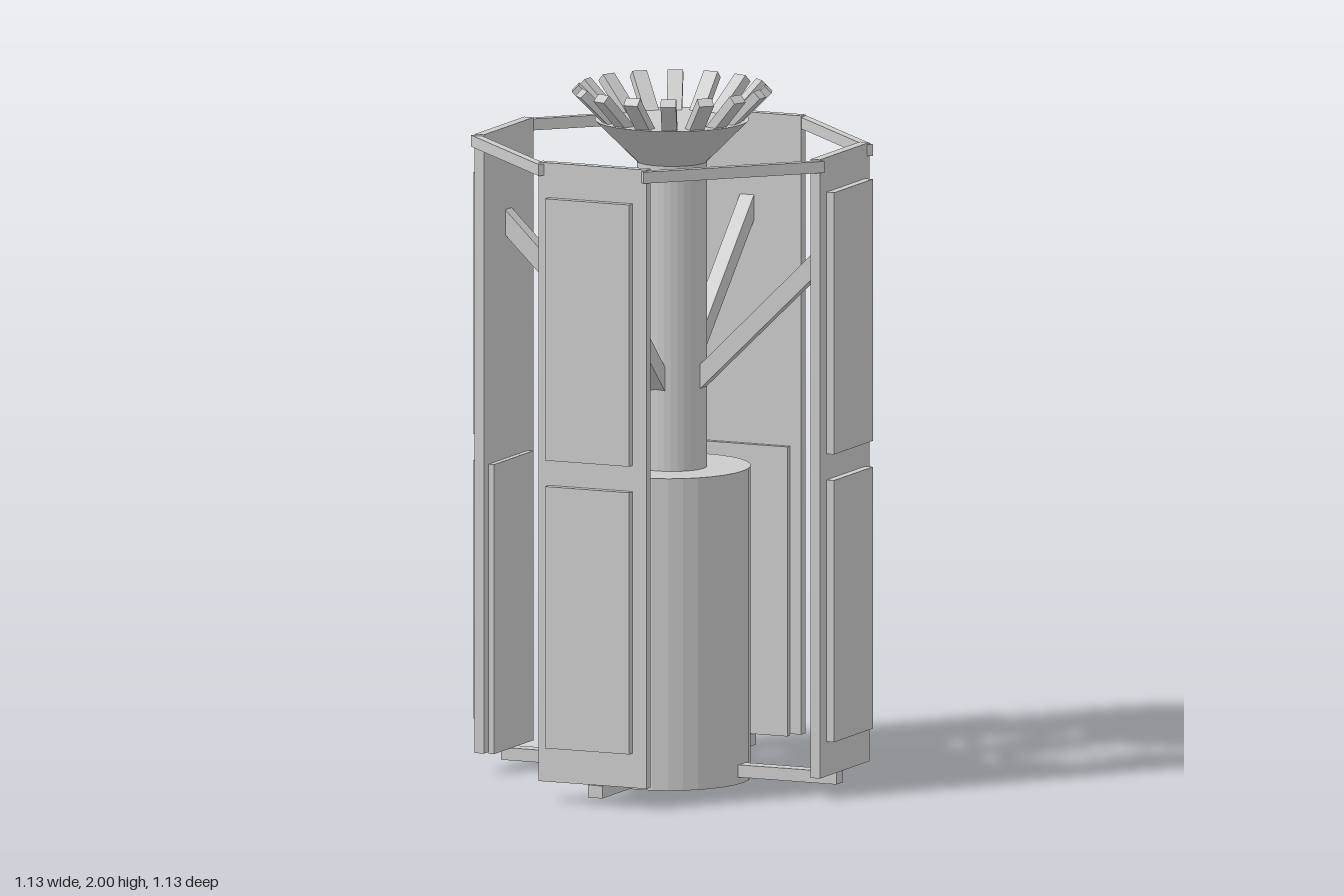
import * as THREE from 'three';

const material = new THREE.MeshStandardMaterial({ color: 0xcccccc, flatShading: true });

function addMesh(parent, name, geometry, x = 0, y = 0, z = 0) {
  const mesh = new THREE.Mesh(geometry, material);
  mesh.name = name;
  mesh.position.set(x, y, z);
  parent.add(mesh);
  return mesh;
}

// Box given by its lower and upper corners
function addBox(parent, name, [x0, y0, z0], [x1, y1, z1]) {
  return addMesh(parent, name, new THREE.BoxGeometry(x1 - x0, y1 - y0, z1 - z0),
    (x0 + x1) / 2, (y0 + y1) / 2, (z0 + z1) / 2);
}

// One side of the frame, built facing +z: panel, cover plates, strut and foot arm
function createSide(name, shift, drop) {
  const side = new THREE.Group();
  side.name = name;
  addBox(side, 'panel', [-0.17, 0.06, 0.512], [0.168, 1.845, 0.541]);
  addBox(side, 'upperPlate', [shift - 0.132, 0.99 - drop, 0.541], [shift + 0.132, 1.745 - drop, 0.565]);
  addBox(side, 'lowerPlate', [shift - 0.132, 0.16 - drop / 2, 0.541], [shift + 0.132, 0.915 - drop, 0.565]);
  addBox(side, 'innerPlate', [-0.135, 0.055, 0.495], [0.135, 0.89, 0.512]);
  addBox(side, 'footArm', [-0.023, 0.02, 0.18], [0.023, 0.056, 0.525]);

  // Sloping strut, a parallelogram with upright ends
  const profile = new THREE.Shape([
    new THREE.Vector2(0.085, 1.12), new THREE.Vector2(0.52, 1.542),
    new THREE.Vector2(0.52, 1.615), new THREE.Vector2(0.085, 1.19),
  ]);
  const strut = new THREE.ExtrudeGeometry(profile, { depth: 0.044, bevelEnabled: false });
  strut.translate(0, 0, -0.022);
  strut.rotateY(-Math.PI / 2);
  addMesh(side, 'strut', strut);
  return side;
}

export function createModel() {
  const model = new THREE.Group();
  model.name = 'panelledTower';

  // Central drum, column and flared head
  const drum = addMesh(model, 'drum', new THREE.CylinderGeometry(0.225, 0.225, 0.9, 32), 0, 0.45, -0.004);
  drum.scale.set(0.98, 1, 1.04);
  addMesh(model, 'column', new THREE.CylinderGeometry(0.1, 0.1, 0.92, 32), 0, 1.34, 0);
  addMesh(model, 'flaredHead', new THREE.CylinderGeometry(0.22, 0.1, 0.12, 32), 0, 1.84, 0);

  // Crown of sixteen bars leaning outwards
  const crown = new THREE.Group();
  crown.name = 'crown';
  const length = 0.16, thickness = 0.028;
  for (let i = 0; i < 16; i++) {
    const bar = new THREE.BoxGeometry(0.044, length, thickness);
    bar.translate(0, -length / 2, thickness / 2);
    bar.rotateX(Math.PI / 4);
    bar.translate(0, 2, 0.265);
    bar.rotateY(i * Math.PI / 8);
    addMesh(crown, 'crownBar', bar);
  }
  model.add(crown);

  // Four sides and the corner rails joining them
  const names = ['frontSide', 'leftSide', 'backSide', 'rightSide'];
  const shifts = [-0.007, 0.007, 0.007, -0.007];
  names.forEach((name, i) => {
    const side = createSide(name, shifts[i], i === 3 ? 0.018 : 0);
    side.rotation.y = i * Math.PI / 2;
    model.add(side);

    const rail = new THREE.BoxGeometry(0.55, 0.033, 0.025);
    rail.translate(0, 1.824, 0.495);
    rail.rotateY(Math.PI / 4 + i * Math.PI / 2);
    addMesh(model, 'cornerRail', rail);
  });

  return model;
}
